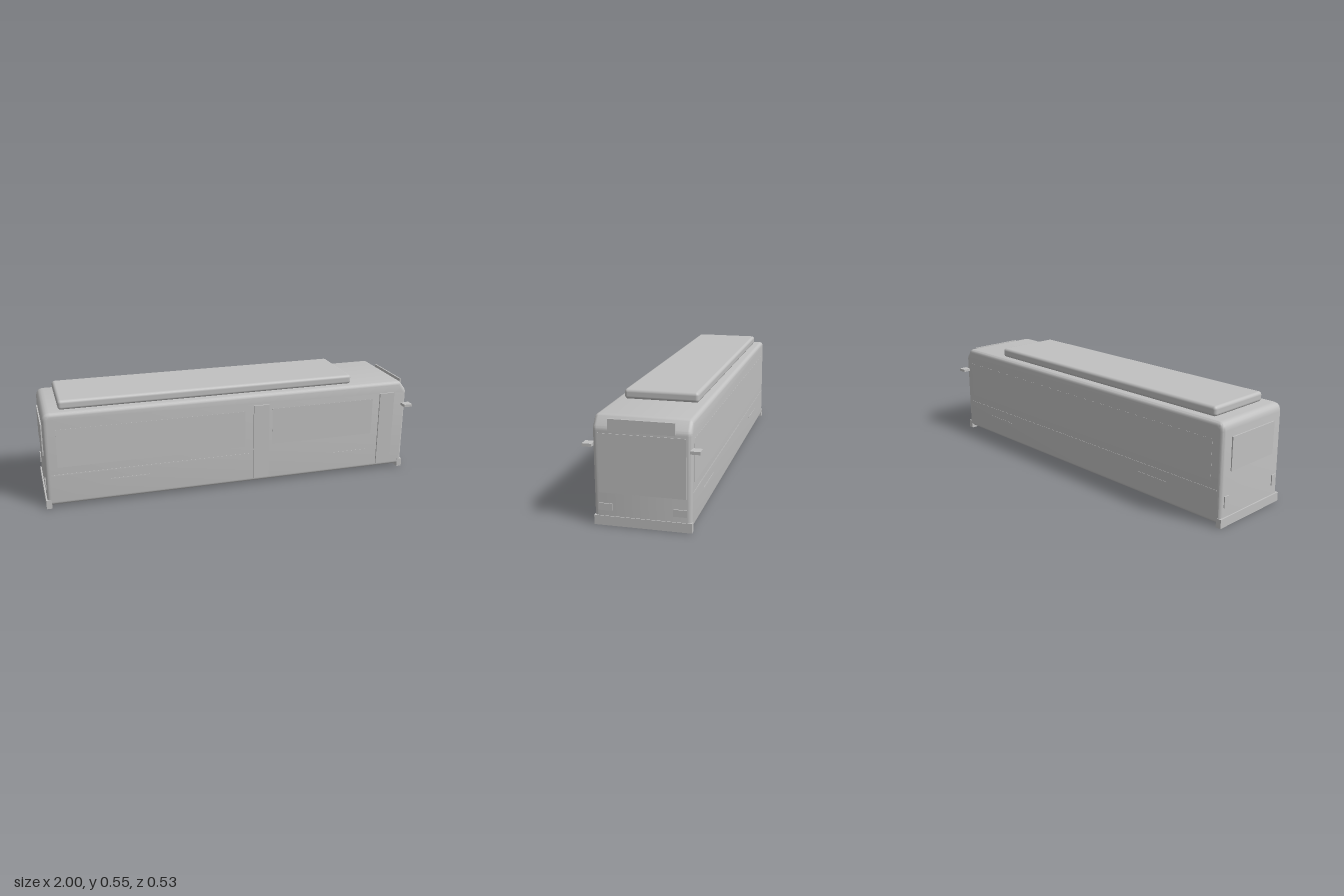
import * as THREE from 'three';
import { toCreasedNormals } from 'three/addons/utils/BufferGeometryUtils.js';
import { RoundedBoxGeometry } from 'three/addons/geometries/RoundedBoxGeometry.js';

export function createModel() {
  const bus = new THREE.Group();
  bus.name = 'bus';
  const grey = new THREE.MeshStandardMaterial({ color: 0xc0c0c0 });
  grey.name = 'plain grey';

  const add = (name, geometry) => {
    const mesh = new THREE.Mesh(geometry, grey);
    mesh.name = name;
    bus.add(mesh);
    return mesh;
  };
  // Box given by its limits on each axis
  const box = (name, x0, x1, y0, y1, z0, z1) => {
    const mesh = add(name, new THREE.BoxGeometry(x1 - x0, y1 - y0, z1 - z0));
    mesh.position.set((x0 + x1) / 2, (y0 + y1) / 2, (z0 + z1) / 2);
  };

  // Body shell: side profile with a raked brow, extruded across and bevelled
  const W = 0.225, bevel = 0.02;
  const profile = new THREE.Shape();
  profile.moveTo(-0.993, 0.015);
  profile.lineTo(0.981, 0.015);
  profile.lineTo(0.981, 0.44);
  profile.quadraticCurveTo(0.981, 0.452, 0.974, 0.462);
  profile.lineTo(0.95, 0.495);
  profile.quadraticCurveTo(0.943, 0.506, 0.925, 0.506);
  profile.lineTo(-0.95, 0.506);
  profile.quadraticCurveTo(-0.987, 0.506, -0.989, 0.465);
  const shell = new THREE.ExtrudeGeometry(profile, {
    depth: 2 * (W - bevel), bevelEnabled: true, bevelSize: bevel,
    bevelThickness: bevel, bevelOffset: -bevel, bevelSegments: 4, curveSegments: 5,
  });
  shell.translate(0, 0, -(W - bevel));
  add('body', toCreasedNormals(shell, 0.6));

  // Roof pod
  add('roofPod', new RoundedBoxGeometry(1.57, 0.05, 0.36, 4, 0.016)).position.set(-0.12, 0.528, 0);

  // Bumpers
  box('frontBumper', 0.957, 0.985, 0, 0.045, -0.226, 0.226);
  box('rearBumper', -1, -0.972, 0, 0.045, -0.226, 0.226);

  // Front glass and upright destination sign
  box('windshield', 0.978, 0.984, 0.155, 0.43, -0.2, 0.2);
  box('destinationSign', 0.976, 0.984, 0.44, 0.497, -0.152, 0.152);

  // Rear window and vent
  box('rearWindow', -0.996, -0.989, 0.265, 0.43, -0.16, 0.16);

  for (const s of [-1, 1]) {
    const ends = (a, b) => [Math.min(s * a, s * b), Math.max(s * a, s * b)];
    box('headlight', 0.978, 0.986, 0.072, 0.105, ...ends(0.14, 0.203));
    box('tailLight', -0.997, -0.989, 0.095, 0.15, ...ends(0.17, 0.2));
    box('mirror', 0.953, 1, 0.369, 0.383, ...ends(0.222, 0.267));
    // Flush trim strip along each side, stepping down over the wheels
    box('trimStrip', -0.965, s > 0 ? 0.09 : 0.955, 0.176, 0.182, ...ends(0.22, 0.2265));
    for (const x of [-0.67, 0.55]) {
      box('wheelTrim', x, x + 0.2, 0.125, 0.13, ...ends(0.22, 0.2265));
    }
  }

  // Side windows: one long band on the right, split by doors on the left
  box('rightWindows', -0.93, 0.93, 0.22, 0.42, -0.2258, -0.22);
  box('leftRearWindows', -0.93, 0.05, 0.22, 0.42, 0.22, 0.2258);
  box('leftFrontWindows', 0.2, 0.78, 0.22, 0.42, 0.22, 0.2258);

  // Passenger doors on the left side
  for (const [x0, x1] of [[0.095, 0.18], [0.82, 0.905]]) {
    box('door', x0, x1, 0.038, 0.448, 0.224, 0.233);
  }
  return bus;
}
